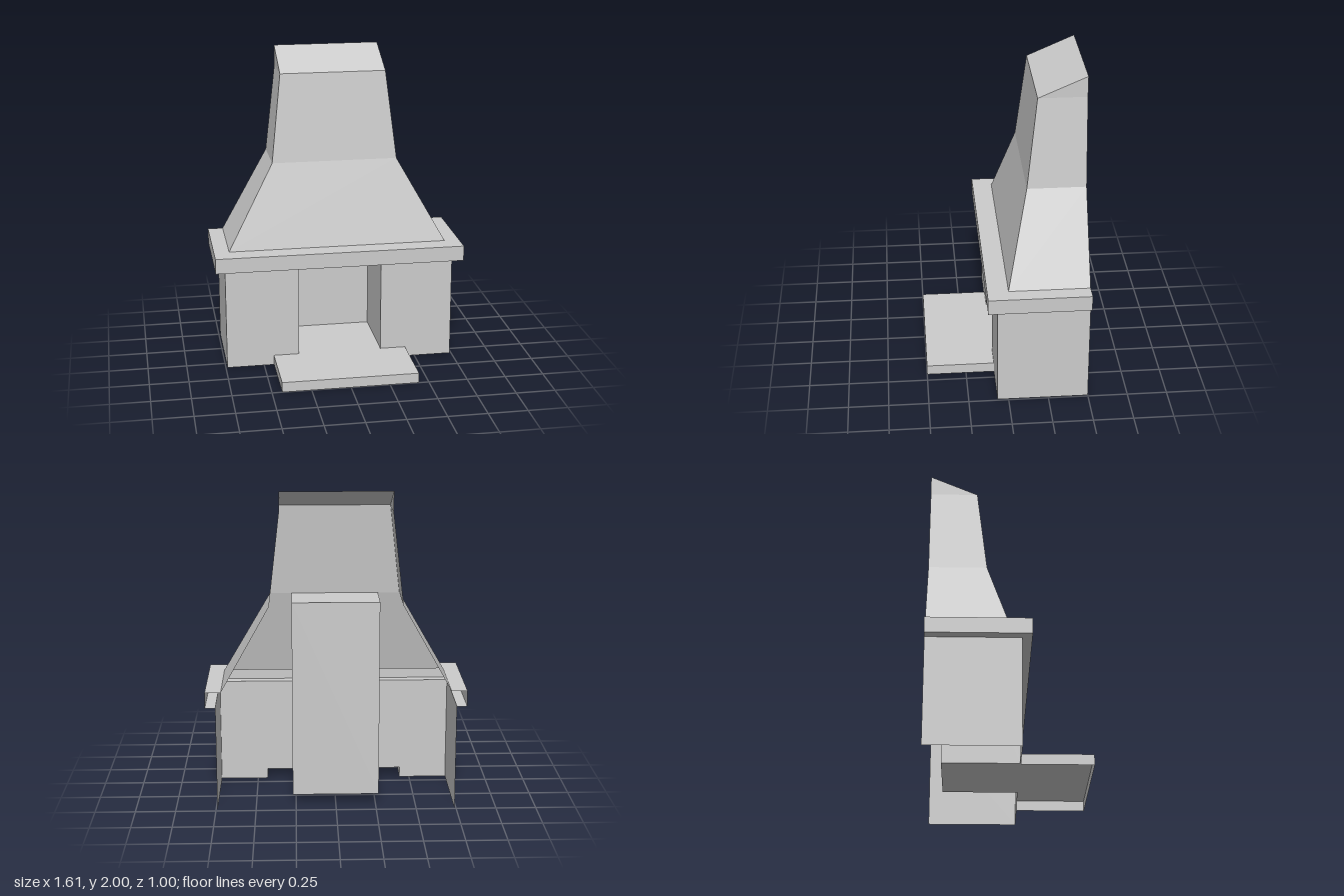
import * as THREE from 'three';

const material = new THREE.MeshStandardMaterial({ color: 0xcccccc, side: THREE.DoubleSide, flatShading: true });

// Thin-sheet mesh from flat polygons, each fanned from its first corner.
function sheets(name, polygons) {
  const pos = [];
  for (const p of polygons) {
    for (let i = 1; i < p.length - 1; i++) pos.push(...p[0], ...p[i], ...p[i + 1]);
  }
  const geo = new THREE.BufferGeometry();
  geo.setAttribute('position', new THREE.Float32BufferAttribute(pos, 3));
  geo.computeVertexNormals();
  const mesh = new THREE.Mesh(geo, material);
  mesh.name = name;
  return mesh;
}

// Adds the mirror image in x, with the corner order reversed.
const both = (polys) => [
  ...polys,
  ...polys.map((p) => p.map(([x, y, z]) => [-x, y, z]).reverse()),
];

// Left-right symmetric quad between two edges given as [halfWidth, y, z].
const span = ([w0, y0, z0], [w1, y1, z1]) => [[-w0, y0, z0], [w0, y0, z0], [w1, y1, z1], [-w1, y1, z1]];

export function createModel() {
  const model = new THREE.Group();
  const back = -0.5, wallZ = 0.07, wallX = 0.74, openX = 0.27;
  const hearthX = 0.436, hearthY = 0.065, hearthZ = 0.5;
  const shelfX = 0.803, shelfZ = 0.13, shelfLow = 0.67, shelfTop = 0.768;
  // Hood front edges, bottom to top: [halfWidth, y, z]
  const hood = [[0.705, shelfTop, 0], [0.405, 1.305, -0.135], [0.34, 1.87, -0.2]];

  // Surround: front piers stepped over the hearth, and side walls
  model.add(sheets('surround', both([
    [[openX, hearthY, wallZ], [hearthX, hearthY, wallZ], [hearthX, shelfLow, wallZ], [openX, shelfLow, wallZ]],
    [[hearthX, 0, wallZ], [wallX, 0, wallZ], [wallX, shelfLow, wallZ], [hearthX, shelfLow, wallZ]],
    [[wallX, 0, wallZ], [wallX, 0, back], [wallX, shelfLow, back], [wallX, shelfLow, wallZ]],
  ])));

  // Hearth: slab open underneath
  model.add(sheets('hearth', [
    span([hearthX, hearthY, hearthZ], [hearthX, hearthY, wallZ]),
    span([hearthX, 0, hearthZ], [hearthX, hearthY, hearthZ]),
    ...both([[[hearthX, 0, hearthZ], [hearthX, 0, wallZ], [hearthX, hearthY, wallZ], [hearthX, hearthY, hearthZ]]]),
  ]));

  // Firebox: floor, back, roof and side walls following the hood slope
  const boxBack = -0.4, boxTop = 1.305;
  model.add(sheets('firebox', [
    span([openX, hearthY, wallZ], [openX, hearthY, boxBack]),
    span([openX, hearthY, boxBack], [openX, boxTop, boxBack]),
    span([openX, boxTop, -0.135], [openX, boxTop, boxBack]),
    ...both([[
      [openX, hearthY, boxBack], [openX, boxTop, boxBack], [openX, boxTop, -0.135],
      [openX, shelfLow, 0.02], [openX, shelfLow, wallZ], [openX, hearthY, wallZ],
    ]]),
  ]));

  // Mantel: hollow shelf wrapping the front and both sides
  const ledge = (y, w, z) => [ // flat border between the outline and an inner edge
    span([shelfX, y, shelfZ], [w, y, z]),
    ...both([[[shelfX, y, shelfZ], [shelfX, y, back], [w, y, back], [w, y, z]]]),
  ];
  model.add(sheets('mantel', [
    ...ledge(shelfTop, hood[0][0], hood[0][2]),
    ...ledge(shelfLow, wallX, wallZ).map((p) => p.reverse()),
    span([shelfX, shelfLow, shelfZ], [shelfX, shelfTop, shelfZ]),
    ...both([[[shelfX, shelfLow, shelfZ], [shelfX, shelfLow, back], [shelfX, shelfTop, back], [shelfX, shelfTop, shelfZ]]]),
  ]));

  // Hood: tapering shell, open at the back
  const faces = [];
  for (let i = 0; i < hood.length - 1; i++) {
    const [w0, y0] = hood[i], [w1, y1] = hood[i + 1];
    faces.push(span(hood[i], hood[i + 1]));
    faces.push(...both([[hood[i], [w0, y0, back], [w1, y1, back], hood[i + 1]]]));
  }
  // Sloping cap and its side triangles
  const [capX, capY, capZ] = hood[2];
  faces.push(span(hood[2], [capX, 2, back]));
  faces.push(...both([[[capX, capY, capZ], [capX, capY, back], [capX, 2, back]]]));
  model.add(sheets('hood', faces));

  return model;
}
